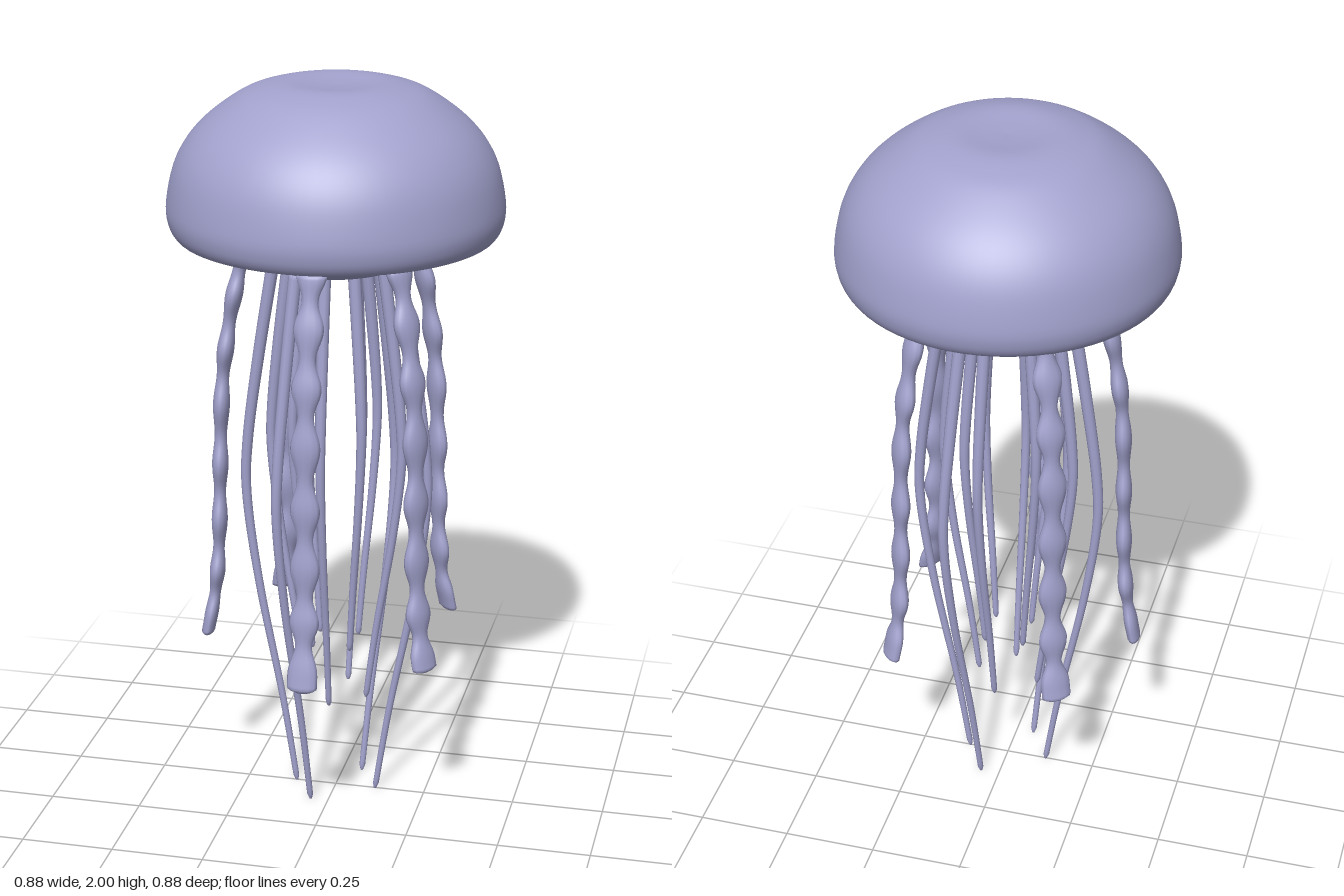
import * as THREE from 'three';
import { mergeVertices } from 'three/addons/utils/BufferGeometryUtils.js';

const lavender = new THREE.MeshStandardMaterial({ color: 0xa2a2ce });
lavender.name = 'lavender';

const vec = ([x, y]) => new THREE.Vector2(x, y);

// Smooth body of revolution; the profile runs from underside to top.
function revolve(name, profile, steps) {
  const points = new THREE.SplineCurve(profile.map(vec)).getPoints(steps);
  points.forEach((p) => { p.x = Math.max(p.x, 0); });
  const mesh = new THREE.Mesh(new THREE.LatheGeometry(points, 72), lavender);
  mesh.name = name;
  return mesh;
}

// Strand hanging in a radial plane: path holds [radius, y] points from top to bottom,
// size(t) gives [radial, tangential] half thickness.
function strand(name, path, size, angleAt, sides, rows) {
  const curve = new THREE.SplineCurve(path.map(vec));
  let geo = new THREE.CylinderGeometry(1, 1, 1, sides, rows);
  geo.deleteAttribute('uv');
  geo.deleteAttribute('normal');
  const pos = geo.attributes.position;
  for (let i = 0; i < pos.count; i++) {
    const t = THREE.MathUtils.clamp(0.5 - pos.getY(i), 0, 1);
    const p = curve.getPoint(t);
    const [thick, wide] = size(t);
    const r = p.x + pos.getX(i) * thick;
    const s = pos.getZ(i) * wide;
    const a = angleAt(t);
    pos.setXYZ(i, r * Math.cos(a) - s * Math.sin(a), p.y, r * Math.sin(a) + s * Math.cos(a));
  }
  geo = mergeVertices(geo, 1e-5);
  geo.computeVertexNormals();
  const mesh = new THREE.Mesh(geo, lavender);
  mesh.name = name;
  return mesh;
}

export function createModel() {
  const model = new THREE.Group();
  model.name = 'jellyfish';

  // Bell with a rounded rim, turned in underneath
  model.add(revolve('bell', [
    [0.335, 1.7], [0.355, 1.65], [0.38, 1.613], [0.4, 1.605], [0.418, 1.61], [0.434, 1.64],
    [0.438, 1.69], [0.42, 1.78], [0.385, 1.85], [0.33, 1.91], [0.25, 1.967], [0.19, 1.99],
    [0.13, 2.0], [0.06, 1.995], [0, 1.992],
  ], 70));

  // Domed underside
  const dome = [];
  for (let i = 0; i <= 10; i++) {
    const a = (i / 10) * Math.PI / 2;
    dome.push([0.342 * Math.sin(a), 1.7 - 0.2 * Math.cos(a)]);
  }
  model.add(revolve('underside', dome, 30));

  // Five beaded, flattened arms: [angle in degrees, end height]
  const arms = new THREE.Group();
  arms.name = 'oralArms';
  [[35.5, 0.475], [92, 0.45], [172, 0.455], [233, 0.47], [320, 0.47]].forEach(([deg, end], k) => {
    const angle = THREE.MathUtils.degToRad(deg);
    const path = [
      [0.235, 1.57], [0.262, 1.46], [0.287, 1.32], [0.303, 1.18], [0.31, 1.02],
      [0.314, 0.87], [0.319, 0.72], [0.33, 0.59], [0.354, end],
    ];
    const size = (t) => {
      const tip = Math.sqrt(Math.min(1, t / 0.025 + 0.02)) * Math.sqrt(Math.min(1, (1 - t) / 0.02 + 0.15));
      const flare = THREE.MathUtils.smoothstep(t, 0.88, 0.97);
      const bead = Math.sin(t * 15 * Math.PI + k * 0.3) * (1 - flare);
      return [tip * (0.021 - 0.003 * t + 0.003 * bead), tip * (0.031 + 0.009 * bead + 0.01 * flare)];
    };
    arms.add(strand('oralArm', path, size, () => angle, 12, 120));
  });
  model.add(arms);

  // Thin tentacles in three lengths: top, bulge and end radius, end height, top and end angles
  const sets = [
    { name: 'longTentacle', top: 0.165, bulge: 0.247, tip: 0.112, end: 0.005, angles: [0, 116, 180, 298] },
    { name: 'middleTentacle', top: 0.13, bulge: 0.185, tip: 0.088, end: 0.29, angles: [8, 90, 188, 280] },
    { name: 'shortTentacle', top: 0.095, bulge: 0.135, tip: 0.075, end: 0.445, angles: [48, 135, 222, 312] },
  ];
  const tentacles = new THREE.Group();
  tentacles.name = 'tentacles';
  for (const { name, top, bulge, tip, end, angles } of sets) {
    const drop = 1.535 - end;
    const path = [
      [top, 1.535], [top + (bulge - top) * 0.55, 1.535 - drop * 0.18],
      [bulge * 0.985, 1.535 - drop * 0.34], [bulge, 1.535 - drop * 0.45],
      [tip + (bulge - tip) * 0.75, 1.535 - drop * 0.62],
      [tip + (bulge - tip) * 0.3, 1.535 - drop * 0.83], [tip, end],
    ];
    const size = (t) => {
      const r = (0.0175 - 0.0095 * t) * Math.sqrt(Math.min(1, (1 - t) / 0.01 + 0.2));
      return [r, r];
    };
    for (const deg of angles) {
      const angle = THREE.MathUtils.degToRad(deg);
      tentacles.add(strand(name, path, size, () => angle, 10, 60));
    }
  }
  model.add(tentacles);
  return model;
}
